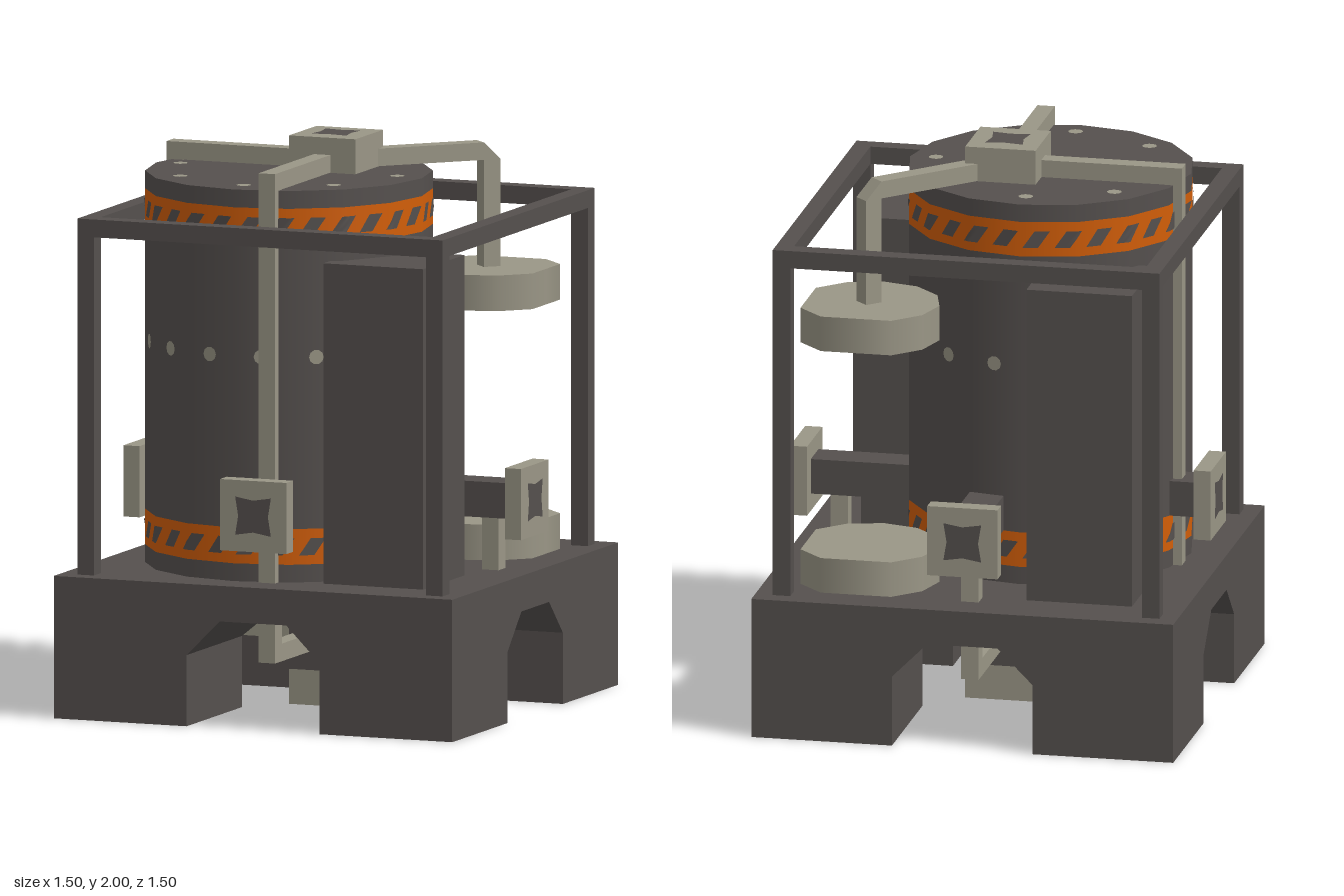
import * as THREE from 'three';

const mat = (name, color) => Object.assign(new THREE.MeshStandardMaterial({ color }), { name });

export function createModel() {
  const dark = mat('dark casing', 0x55504e);
  const light = mat('pale metal', 0x9a9686);
  const orange = mat('warning orange', 0xd25e08);
  const model = new THREE.Group();

  const add = (parent, name, geometry, material, x = 0, y = 0, z = 0) => {
    const mesh = new THREE.Mesh(geometry, material);
    mesh.name = name;
    mesh.position.set(x, y, z);
    parent.add(mesh);
    return mesh;
  };
  // Box given by its minimum and maximum on each axis
  const box = (parent, name, material, x0, x1, y0, y1, z0, z1) =>
    add(parent, name, new THREE.BoxGeometry(x1 - x0, y1 - y0, z1 - z0), material,
      (x0 + x1) / 2, (y0 + y1) / 2, (z0 + z1) / 2);

  // Square socket with slightly pinched edges
  const socketShape = new THREE.Shape();
  for (let i = 0; i < 8; i++) {
    const a = (i * Math.PI) / 4;
    const r = i % 2 ? 0.095 : 0.056;
    socketShape[i ? 'lineTo' : 'moveTo'](r * Math.cos(a), r * Math.sin(a));
  }
  const socketGeo = new THREE.ShapeGeometry(socketShape);

  // Base: slab on four legs, leaving two crossing tunnels with sloped roofs
  box(model, 'baseSlab', dark, -0.75, 0.75, 0.375, 0.5, -0.75, 0.75);
  const flare = new THREE.BoxGeometry(0.5, 0.125, 0.5);
  const fp = flare.attributes.position;
  for (let i = 0; i < fp.count; i++) {
    if (fp.getY(i) < 0) continue;
    if (fp.getX(i) < 0) fp.setX(i, -0.375);
    if (fp.getZ(i) < 0) fp.setZ(i, -0.375);
  }
  flare.computeVertexNormals();
  for (let k = 0; k < 4; k++) {
    const leg = new THREE.Group();
    leg.name = 'baseLeg';
    leg.rotation.y = (k * Math.PI) / 2;
    box(leg, 'legBlock', dark, 0.25, 0.75, 0, 0.25, 0.25, 0.75);
    add(leg, 'legFlare', flare, dark, 0.5, 0.3125, 0.5);
    model.add(leg);
  }

  // Central column and bottom connector
  box(model, 'bottomColumn', dark, -0.125, 0.125, 0.125, 0.375, -0.125, 0.125);
  box(model, 'bottomConnector', light, -0.125, 0.125, 0.002, 0.125, -0.125, 0.125);
  add(model, 'bottomSocket', socketGeo, dark, 0, 0.0005, 0).rotation.x = Math.PI / 2;

  // Each side: connector plate, arm, pipes, and one quarter of the cage
  for (let k = 0; k < 4; k++) {
    const side = new THREE.Group();
    side.name = ['frontSide', 'leftSide', 'backSide', 'rightSide'][k];
    side.rotation.y = (k * Math.PI) / 2;
    model.add(side);
    const tall = k === 0 || k === 3;
    box(side, 'connectorPlate', light, -0.125, 0.125, 0.625, 0.875, 0.6875, 0.748);
    add(side, 'connectorSocket', socketGeo, dark, 0, 0.75, 0.75);
    box(side, 'connectorArm', dark, -0.0625, 0.0625, 0.6875, 0.8125, tall ? 0.55 : 0.3, 0.6875);
    box(side, 'lowerPipe', light, -0.031, 0.031, 0.219, 0.281, 0.125, 0.5625);
    box(side, 'risingPipe', light, -0.031, 0.031, 0.219, tall ? 1.9375 : 0.6875, 0.5625, 0.625);
    if (tall) box(side, 'topPipe', light, -0.031, 0.031, 1.876, 1.9375, 0.125, 0.5625);
    box(side, 'cagePost', dark, 0.625, 0.6875, 0.5, 1.6875, 0.625, 0.6875);
    box(side, 'cageRail', dark, -0.625, 0.6875, 1.6875, 1.75, 0.625, 0.6875);
  }

  // Two rectangular tanks
  for (const s of [1, -1])
    add(model, 'boxTank', new THREE.BoxGeometry(0.375, 1.125, 0.375), dark, s * 0.375, 1.0625, s * 0.375);

  // Main drum: sections with two orange bands
  const drum = new THREE.Group();
  drum.name = 'drum';
  drum.position.set(-0.125, 0, 0.125);
  model.add(drum);
  const R = 0.5, SIDES = 16, STEP = (2 * Math.PI) / SIDES, APOTHEM = R * Math.cos(STEP / 2);
  const levels = [0.5, 0.5625, 0.6875, 1.6875, 1.8125, 1.875];
  for (let i = 0; i < 5; i++) {
    const h = levels[i + 1] - levels[i];
    add(drum, i % 2 ? 'warningBand' : 'drumSection', new THREE.CylinderGeometry(R, R, h, SIDES),
      i % 2 ? orange : dark, 0, levels[i] + h / 2, 0);
  }

  // Slanted marks wrapped around the faceted bands
  const MARKS = 28;
  for (const y of [0.625, 1.75]) {
    for (let m = 0; m < MARKS; m++) {
      const geo = new THREE.PlaneGeometry(0.054, 0.06, 8, 2);
      const p = geo.attributes.position;
      for (let i = 0; i < p.count; i++) {
        const v = p.getY(i);
        const a = ((m + 0.5) / MARKS) * 2 * Math.PI + (p.getX(i) + v * 0.7) / R;
        const local = a - (Math.floor(a / STEP) + 0.5) * STEP;
        const r = APOTHEM / Math.cos(local) + 0.004;
        p.setXYZ(i, r * Math.sin(a), v, r * Math.cos(a));
      }
      geo.computeVertexNormals();
      add(drum, 'bandMark', geo, dark, 0, y, 0);
    }
  }

  // Rivets on the drum wall and lid
  const rivet = new THREE.CircleGeometry(0.026, 10);
  for (let i = 0; i < SIDES; i++) {
    const a = (i + 0.5) * STEP, r = APOTHEM + 0.004;
    add(drum, 'wallRivet', rivet, light, r * Math.sin(a), 1.29, r * Math.cos(a)).rotation.y = a;
  }
  for (let i = 0; i < 8; i++) {
    const a = (i * Math.PI) / 4;
    add(drum, 'lidRivet', rivet, light, 0.408 * Math.sin(a), 1.879, 0.408 * Math.cos(a)).rotation.x = -Math.PI / 2;
  }

  // Top connector
  box(model, 'topConnector', light, -0.125, 0.125, 1.875, 1.998, -0.125, 0.125);
  add(model, 'topSocket', socketGeo, dark, 0, 2, 0).rotation.x = -Math.PI / 2;

  // Diagonal pipe bending down to the upper disc
  const bend = new THREE.Shape([
    [0.1, 1.876], [0.543, 1.876], [0.543, 1.5], [0.606, 1.5], [0.606, 1.876], [0.543, 1.9375], [0.1, 1.9375],
  ].map(([s, y]) => new THREE.Vector2(s, y)));
  const bendGeo = new THREE.ExtrudeGeometry(bend, { depth: 0.0625, bevelEnabled: false });
  bendGeo.translate(0, 0, -0.03125);
  add(model, 'diagonalPipe', bendGeo, light).rotation.y = Math.PI / 4;

  // Two discs, trimmed flat where they meet the cage
  const disc = new THREE.CylinderGeometry(0.25, 0.25, 0.125, 12);
  const dp = disc.attributes.position;
  for (let i = 0; i < dp.count; i++) {
    dp.setX(i, Math.min(dp.getX(i), 0.2165));
    dp.setZ(i, Math.max(dp.getZ(i), -0.2165));
  }
  add(model, 'upperDisc', disc, light, 0.406, 1.4375, -0.406);
  add(model, 'lowerDisc', disc, light, 0.406, 0.5625, -0.406);

  return model;
}
